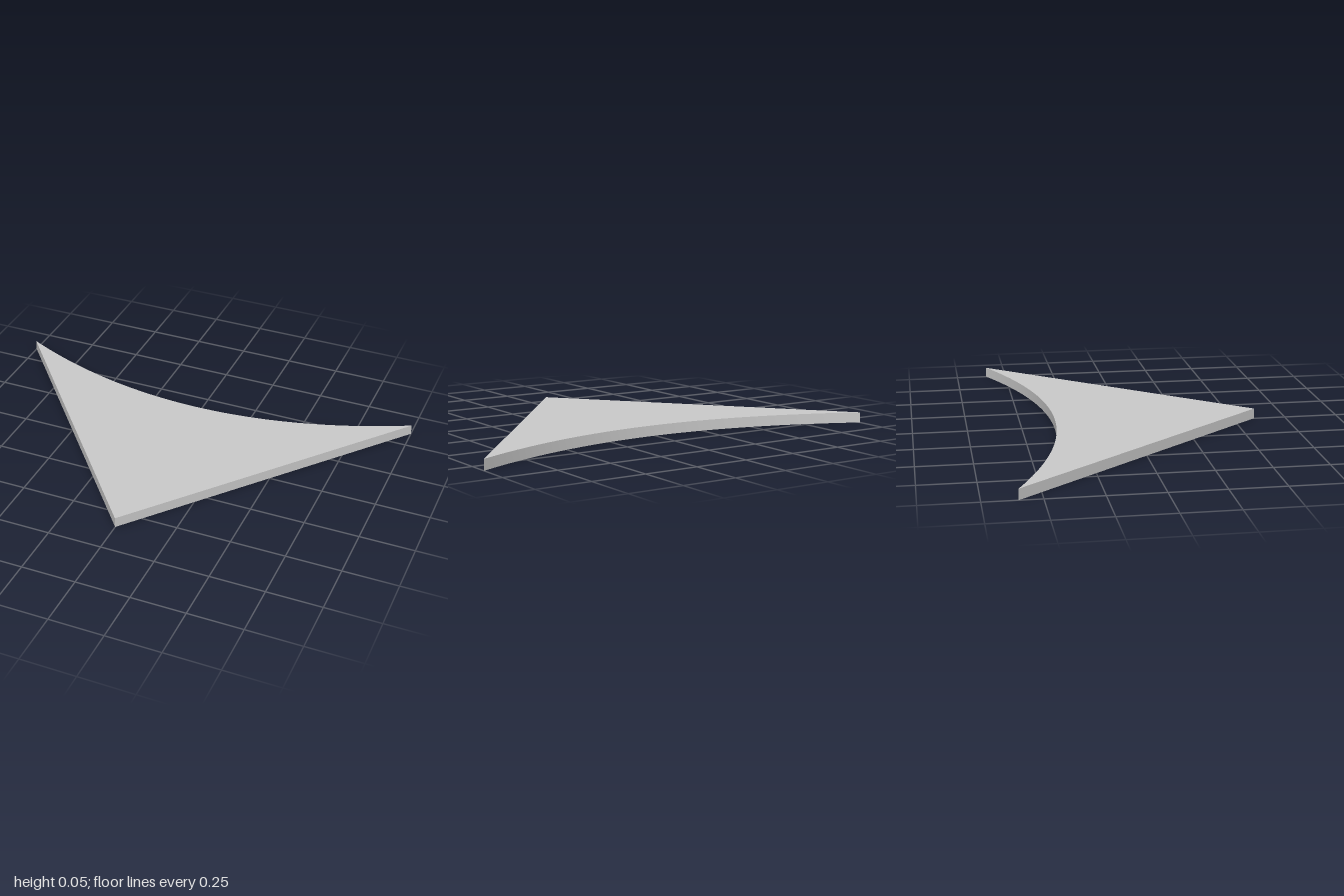
import * as THREE from 'three';
import { toCreasedNormals } from 'three/addons/utils/BufferGeometryUtils.js';

const THICKNESS = 0.048;

export function createModel() {
  const model = new THREE.Group();
  model.name = 'curvedTrianglePlate';

  // Plan outline: pointed front, straight sides, concave back edge
  const outline = new THREE.Shape();
  outline.moveTo(0, -0.6);
  outline.lineTo(1, 0.6);
  outline.quadraticCurveTo(0, 0.1, -1, 0.6);
  outline.closePath();

  // Extrude the outline and lay it flat on the ground
  const geometry = new THREE.ExtrudeGeometry(outline, {
    depth: THICKNESS,
    bevelEnabled: false,
    curveSegments: 40,
  });
  geometry.rotateX(-Math.PI / 2);

  const plate = new THREE.Mesh(
    toCreasedNormals(geometry, Math.PI / 6),
    new THREE.MeshStandardMaterial({ color: 0xcccccc })
  );
  plate.name = 'plate';
  model.add(plate);
  return model;
}
